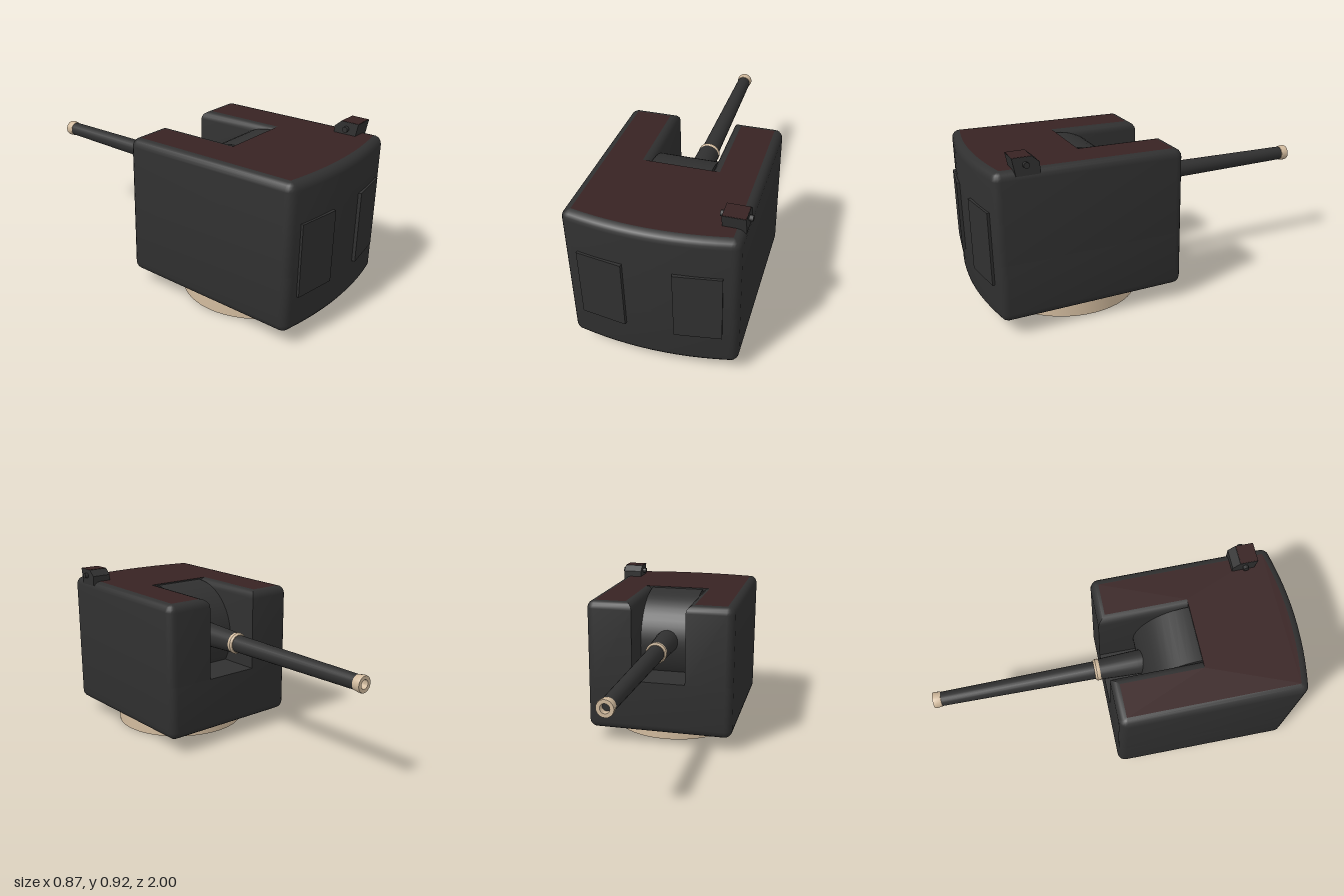
import * as THREE from 'three';
import { toCreasedNormals } from 'three/addons/utils/BufferGeometryUtils.js';

const R = 0.043;      // rounding of the housing edges
const CX = -0.011;    // centre line of the housing
const FLOOR = 0.387;  // floor of the gun slot

export function createModel() {
  const model = new THREE.Group();
  const dark = new THREE.MeshStandardMaterial({ color: 0x303030 });
  const red = new THREE.MeshStandardMaterial({ color: 0x382323 });
  const tan = new THREE.MeshStandardMaterial({ color: 0xd2bb9e });
  const tanOpen = tan.clone();
  tanOpen.side = THREE.DoubleSide;

  const add = (name, geometry, material, x = 0, y = 0, z = 0) => {
    const mesh = new THREE.Mesh(geometry, material);
    mesh.name = name;
    mesh.position.set(x, y, z);
    model.add(mesh);
    return mesh;
  };

  // Plan of the housing as (x, -z), inset by d, with or without the gun slot
  function outline(d, slot) {
    const x0 = -0.435 + d, x1 = 0.413 - d, back = -0.05 + d, front = 0.945 - d;
    const r = Math.max(R - d, 0.002), pts = [];
    const put = (x, z) => pts.push(new THREE.Vector2(x, -z));
    const corner = (x, z, start) => {
      for (let i = 0; i <= 4; i++) {
        const a = start + (i * Math.PI) / 8;
        put(x + r * Math.cos(a), z - r * Math.sin(a));
      }
    };
    corner(x0 + r, front - r, Math.PI);
    for (let i = 1; i < 12; i++) {
      const t = i / 6 - 1;
      put(CX + t * (x1 - r - CX), front + 0.04 * (1 - t * t));
    }
    corner(x1 - r, front - r, -Math.PI / 2);
    corner(x1 - r, back + r, 0);
    if (slot) {
      put(0.145 + d, back);
      put(0.145 + d, 0.44);
      put(-0.165 - d, 0.44);
      put(-0.165 - d, back);
    }
    corner(x0 + r, back + r, Math.PI / 2);
    return pts;
  }

  // The roof falls slightly towards the gun
  const place = (p, y) => [p.x, y > 0.5 ? y - 0.016 * (0.95 + p.y) : y, -p.y];

  function finish(positions) {
    const g = new THREE.BufferGeometry();
    g.setAttribute('position', new THREE.Float32BufferAttribute(positions.flat(), 3));
    return toCreasedNormals(g, 0.6);
  }

  function walls(levels, slot) {
    const rings = levels.map(([y, d]) => outline(d, slot).map((p) => place(p, y)));
    const out = [];
    for (let k = 0; k + 1 < rings.length; k++) {
      const a = rings[k], b = rings[k + 1], n = a.length;
      for (let i = 0; i < n; i++) {
        const j = (i + 1) % n;
        out.push(a[i], a[j], b[j], a[i], b[j], b[i]);
      }
    }
    return finish(out);
  }

  function cap(y, d, slot, up) {
    const pts = outline(d, slot), out = [];
    for (const [a, b, c] of THREE.ShapeUtils.triangulateShape(pts, [])) {
      for (const i of up ? [a, b, c] : [a, c, b]) out.push(place(pts[i], y));
    }
    return finish(out);
  }

  // Housing: full plan below the slot floor, U-shaped plan above it
  const lower = [], upper = [[FLOOR, 0]];
  for (let i = 0; i <= 4; i++) {
    const a = (i * Math.PI) / 8;
    lower.push([0.08 + R * (1 - Math.sin(a)), R * (1 - Math.cos(a))]);
    upper.push([0.857 - R * (1 - Math.sin(a)), R * (1 - Math.cos(a))]);
  }
  lower.reverse();
  // reverse so that the widest section is last, nearest the slot floor
  lower.sort((p, q) => p[0] - q[0]);
  lower.push([FLOOR, 0]);
  add('lowerHousing', walls(lower, false), dark);
  add('housingBottom', cap(0.08, R, false, false), dark);
  add('slotFloor', cap(FLOOR, 0, false, true), dark);
  add('upperHousing', walls(upper, true), dark);
  add('roof', cap(0.857, R, true, true), red);

  // Curved gun shield filling the back of the slot
  const shield = new THREE.CylinderGeometry(0.296, 0.296, 0.31, 48);
  shield.rotateZ(Math.PI / 2);
  add('gunShield', shield, dark, -0.01, 0.545, 0.441);

  // Turret ring, open below
  add('turretRing', new THREE.CylinderGeometry(0.38, 0.38, 0.1, 48, 1, true), tanOpen, CX, 0.05, 0.45);

  // Gun: turned profiles of [radius, distance along the barrel]
  const gun = new THREE.Group();
  gun.name = 'gun';
  gun.position.set(CX, 0.577, 0);
  gun.rotation.x = -Math.PI / 2 - 0.004;
  model.add(gun);
  const turned = (name, profile, material) => {
    const g = new THREE.LatheGeometry(profile.map(([r, y]) => new THREE.Vector2(r, y)), 20);
    const mesh = new THREE.Mesh(toCreasedNormals(g, 0.6), material);
    mesh.name = name;
    gun.add(mesh);
  };
  turned('barrelSleeve', [[0.068, -0.2], [0.067, -0.13], [0.058, 0.08]], dark);
  turned('barrelCollar', [[0.057, 0.077], [0.06, 0.082], [0.06, 0.098], [0.052, 0.109], [0.045, 0.109]], tan);
  turned('barrel', [[0.049, 0.1], [0.039, 0.96]], dark);
  turned('muzzleRing', [[0.036, 0.955], [0.041, 0.957], [0.045, 0.99], [0.043, 1.0], [0.024, 1.0], [0.024, 0.96]], tan);
  turned('bore', [[0.026, 0.965], [0, 0.965]], dark);

  // Two flat doors following the bowed front
  for (const side of [-1, 1]) {
    const door = add(side < 0 ? 'rightDoor' : 'leftDoor', new THREE.BoxGeometry(0.232, 0.38, 0.03), dark,
      CX + side * 0.235, 0.457, 0.966);
    door.rotation.y = side * 0.145;
  }

  // Sight block on the roof, extruded sideways from its (-z, y) profile
  const profile = [[-0.833, 0.83], [-0.715, 0.83], [-0.715, 0.887], [-0.752, 0.92], [-0.85, 0.92]];
  const block = new THREE.ExtrudeGeometry(
    new THREE.Shape(profile.map(([u, v]) => new THREE.Vector2(u, v))),
    { depth: 0.112, bevelEnabled: false });
  block.rotateY(Math.PI / 2);
  add('sightBlock', block, dark, 0.301, 0, 0);
  add('sightTop', new THREE.BoxGeometry(0.108, 0.003, 0.094), red, 0.357, 0.92, 0.801);
  const pin = new THREE.CylinderGeometry(0.015, 0.015, 0.15, 12);
  pin.rotateZ(Math.PI / 2);
  add('sightPin', pin, dark, 0.357, 0.884, 0.785);

  return model;
}
